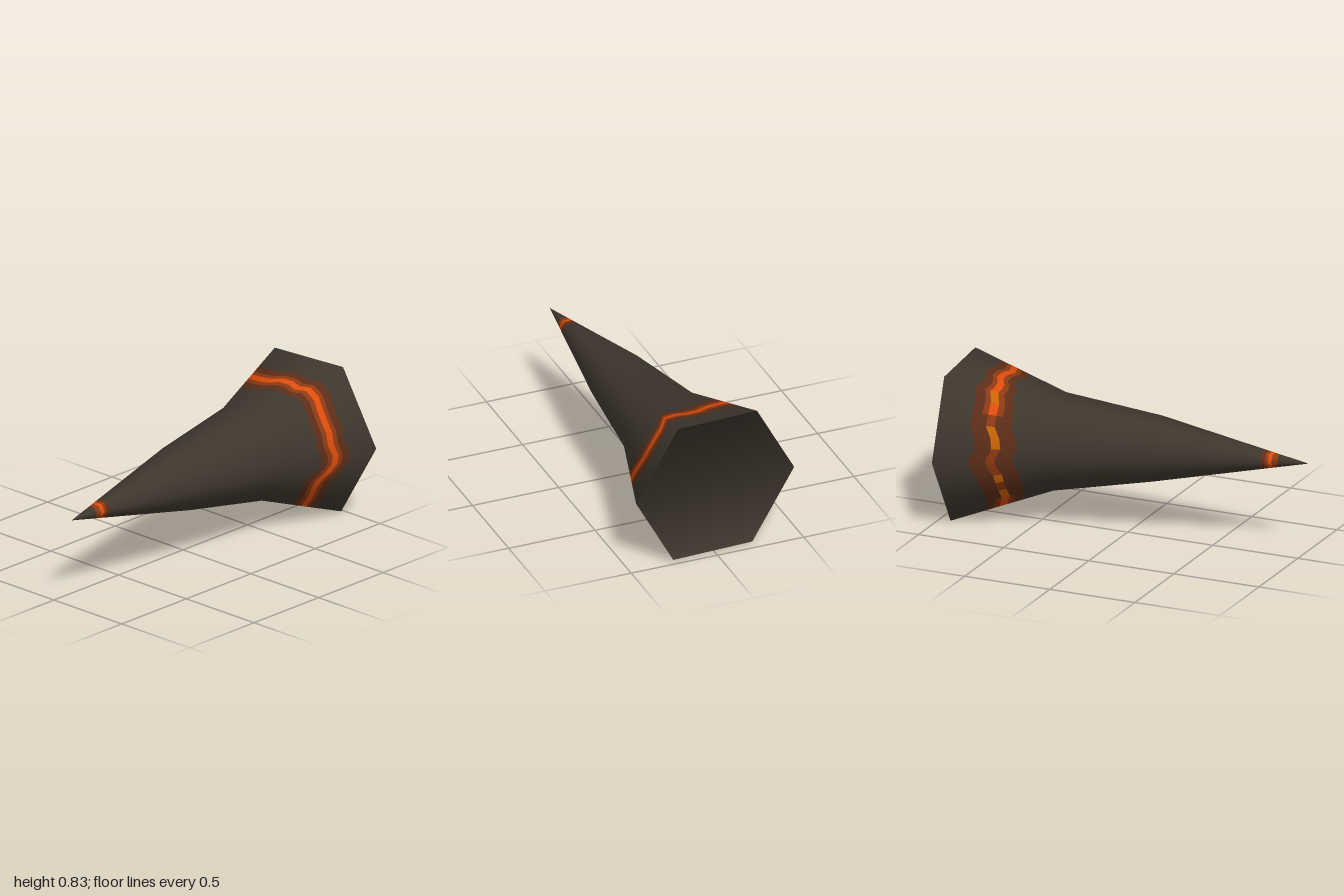
import * as THREE from 'three';

const mat = (name, color) => {
  const m = new THREE.MeshStandardMaterial({ color });
  m.name = name;
  return m;
};

// Hexagonal sections from the rim to the tip: centre, radius, tilt in x and y, normal slope
const SECTIONS = [
  { c: [0, 0.413, -0.968], r: 0.472, tx: -0.033, ty: -0.018, n: 0.36 },
  { c: [0.04, 0.44, -0.418], r: 0.268, tx: -0.025, ty: -0.01, n: 0.27 },
  { c: [0.08, 0.468, 0.135], r: 0.181, tx: -0.015, ty: 0, n: 0.19 },
  { c: [0.132, 0.495, 1], r: 0.0005, tx: 0, ty: 0, n: 0.2 },
];
const PER_SIDE = 6, COUNT = 6 * PER_SIDE;

// Point of a unit hexagon, walking counter-clockwise
function hexPoint(i) {
  const side = Math.floor(i / PER_SIDE), f = (i % PER_SIDE) / PER_SIDE;
  const a = side * Math.PI / 3 + 0.018, b = a + Math.PI / 3;
  return [THREE.MathUtils.lerp(Math.cos(a), Math.cos(b), f), THREE.MathUtils.lerp(Math.sin(a), Math.sin(b), f)];
}

function sectionPoint(k, [hx, hy]) {
  const { c, r, tx, ty } = SECTIONS[k];
  return new THREE.Vector3(c[0] + r * hx, c[1] + r * hy, c[2] + tx * hx + ty * hy);
}

// Height of a wavering edge of the glowing band, which is wider on the model's right
function bandEdge(offset, i) {
  const a = i / COUNT * Math.PI * 2;
  const centre = 0.475 - 0.06 * Math.cos(a) - 0.035 * Math.sin(a);
  const wave = 0.02 * Math.sin(7 * a) + 0.018 * Math.sin(11 * a + 1);
  return centre + wave + offset * (1 + 0.3 * Math.max(0, -Math.cos(a)));
}

// The band is dimmer on the model's right side, with a few amber hot spots in its core
const DIM = [0, 1, 1, 2, 4], HOT_CELLS = [12, 15, 16, 20, 22];
function cellColour(row, i) {
  if (!row.wavy) return row.m;
  if (row.m === 3 && HOT_CELLS.includes(i)) return 4;
  return i >= 14 && i <= 22 ? DIM[row.m] : row.m;
}

export function createModel() {
  const group = new THREE.Group();
  const materials = [
    mat('darkHorn', 0x3d362d),
    mat('scorchedBrown', 0x5c2d18),
    mat('emberRed', 0x8c3812),
    mat('glowingOrange', 0xdc4c0c),
    mat('amber', 0xc86408),
  ];

  // Row boundaries along the horn (one unit per section) and the colour above each
  const rows = [
    { s: 0, m: 0 },
    { s: -0.15, wavy: true, m: 1 },
    { s: -0.075, wavy: true, m: 2 },
    { s: -0.032, wavy: true, m: 3 },
    { s: 0.032, wavy: true, m: 2 },
    { s: 0.08, wavy: true, m: 1 },
    { s: 0.15, wavy: true, m: 0 },
    { s: 1, m: 0 },
    { s: 2, m: 0 },
    { s: 2.705, m: 1 },
    { s: 2.73, m: 2 },
    { s: 2.75, m: 3 },
    { s: 2.775, m: 2 },
    { s: 2.81, m: 0 },
    { s: 3, m: 0 },
  ];

  // Horn wall
  const position = [], normal = [], faces = materials.map(() => []);
  rows.forEach((row, j) => {
    for (let i = 0; i < COUNT; i++) {
      const s = row.wavy ? bandEdge(row.s, i) : row.s;
      const k = Math.min(2, Math.floor(s)), h = hexPoint(i);
      position.push(...sectionPoint(k, h).lerp(sectionPoint(k + 1, h), s - k).toArray());
      const slope = THREE.MathUtils.lerp(SECTIONS[k].n, SECTIONS[k + 1].n, s - k);
      normal.push(...new THREE.Vector3(h[0], h[1], slope).normalize().toArray());
      if (j === rows.length - 1) continue;
      const n = (i + 1) % COUNT, a = j * COUNT;
      faces[cellColour(row, i)].push(a + i, a + n, a + COUNT + n, a + i, a + COUNT + n, a + COUNT + i);
    }
  });

  // Flat base closing the rim, sharing the wall's smooth corner normals
  for (let side = 1; side < 5; side++) {
    faces[0].push(0, (side + 1) * PER_SIDE, side * PER_SIDE);
  }

  const body = new THREE.BufferGeometry();
  body.setAttribute('position', new THREE.Float32BufferAttribute(position, 3));
  body.setAttribute('normal', new THREE.Float32BufferAttribute(normal, 3));
  body.setIndex(faces.flat());
  let start = 0;
  faces.forEach((f, m) => {
    body.addGroup(start, f.length, m);
    start += f.length;
  });
  const horn = new THREE.Mesh(body, materials);
  horn.name = 'horn';
  group.add(horn);

  return group;
}
